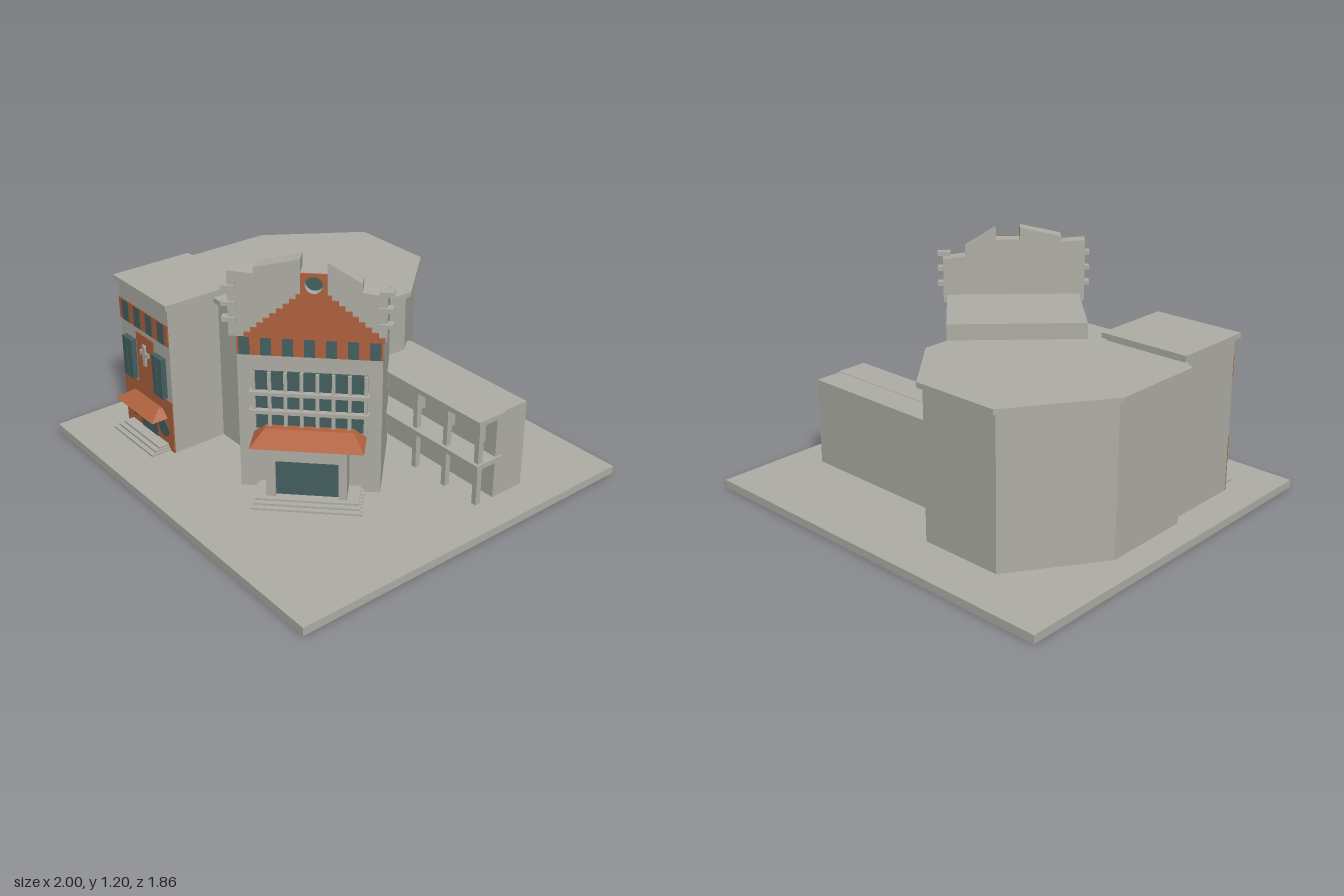
import * as THREE from 'three';

export function createModel() {
  const model = new THREE.Group();
  const mat = (name, color) => {
    const m = new THREE.MeshStandardMaterial({ color });
    m.name = name;
    return m;
  };
  const stone = mat('stone grey', 0xaeaea5);
  const brick = mat('brick orange', 0xb0623f);
  const glass = mat('dark teal glass', 0x456060);

  const add = (parent, name, geo, m) => {
    const mesh = new THREE.Mesh(geo, m);
    mesh.name = name;
    parent.add(mesh);
    return mesh;
  };
  // box given by its limits on each axis
  const box = (parent, name, m, x0, x1, y0, y1, z0, z1) =>
    add(parent, name, new THREE.BoxGeometry(x1 - x0, y1 - y0, z1 - z0), m)
      .position.set((x0 + x1) / 2, (y0 + y1) / 2, (z0 + z1) / 2);
  const shapeOf = (pts) => new THREE.Shape(pts.map(([x, y]) => new THREE.Vector2(x, y)));
  const extrude = (shape, depth) =>
    new THREE.ExtrudeGeometry(shape, { depth, bevelEnabled: false, curveSegments: 12 });
  // upright plate facing +z
  const plate = (parent, name, m, shape, z0, z1) => {
    add(parent, name, extrude(shape, z1 - z0), m).position.z = z0;
  };
  // floor-plan prism, points are (x, z)
  const prism = (parent, name, m, pts, y0, y1) => {
    const g = extrude(shapeOf(pts.map(([x, z]) => [x, -z])), y1 - y0);
    g.rotateX(-Math.PI / 2);
    add(parent, name, g, m).position.y = y0;
  };
  // sloped canopy leaning on a wall at z0
  const canopy = (parent, name, x0, x1, y0, y1, z0, z1, inset, topDepth) => {
    const g = new THREE.BoxGeometry(x1 - x0, y1 - y0, z1 - z0);
    g.translate((x0 + x1) / 2, (y0 + y1) / 2, (z0 + z1) / 2);
    const p = g.attributes.position;
    for (let i = 0; i < p.count; i++) {
      if (p.getY(i) < (y0 + y1) / 2) continue;
      p.setX(i, p.getX(i) < (x0 + x1) / 2 ? x0 + inset : x1 - inset);
      if (p.getZ(i) > (z0 + z1) / 2) p.setZ(i, z0 + topDepth);
    }
    const flat = g.toNonIndexed();
    flat.computeVertexNormals();
    add(parent, name, flat, brick);
  };
  const steps = (parent, x0, x1, z0, z1, run) => {
    for (let i = 0; i < 3; i++)
      box(parent, 'step', stone, x0 + i * 0.008, x1 - i * 0.008, 0.04 + i * 0.01, 0.05 + i * 0.01, z0, z1 - i * run);
  };

  box(model, 'ground slab', stone, -1, 1, 0, 0.04, -0.93, 0.93);

  // Many-sided main hall with an overhanging roof slab
  const hall = new THREE.Group();
  hall.name = 'main hall';
  model.add(hall);
  prism(hall, 'hall walls', stone, [[-0.58, -0.695], [-0.16, -0.695], [0.105, -0.39], [0.105, 0.09],
    [-0.19, 0.34], [-0.66, 0.34], [-0.865, 0.19], [-0.865, -0.265]], 0.04, 0.765);
  prism(hall, 'hall roof', stone, [[-0.59, -0.72], [-0.15, -0.72], [0.13, -0.4], [0.13, 0.1],
    [-0.185, 0.365], [-0.67, 0.365], [-0.89, 0.2], [-0.89, -0.27]], 0.765, 0.79);

  // Front wing
  const wing = new THREE.Group();
  wing.name = 'front wing';
  model.add(wing);
  const wx = -0.615, wz = 0.62;
  box(wing, 'wing walls', stone, -0.83, -0.4, 0.04, 0.805, 0.23, wz);
  box(wing, 'wing roof', stone, -0.85, -0.385, 0.805, 0.83, 0.21, 0.637);
  box(wing, 'lower brick panel', brick, -0.83, -0.4, 0.04, 0.315, wz, wz + 0.006);
  box(wing, 'central brick panel', brick, wx - 0.077, wx + 0.077, 0.315, 0.585, wz, wz + 0.006);
  box(wing, 'upper brick band', brick, -0.83, -0.4, 0.61, 0.72, wz, wz + 0.006);
  for (let i = 0; i < 4; i++) {
    const x = wx + (i - 1.5) * 0.105;
    box(wing, 'upper window', glass, x - 0.028, x + 0.028, 0.612, 0.718, wz, wz + 0.009);
  }
  for (const s of [-1, 1]) {
    for (const o of [-0.022, 0.022])
      box(wing, 'tall shutter', glass, wx + s * 0.133 + o - 0.019, wx + s * 0.133 + o + 0.019, 0.325, 0.535, wz, wz + 0.028);
    const disc = new THREE.CylinderGeometry(0.044, 0.044, 0.009, 24);
    disc.rotateX(Math.PI / 2);
    add(wing, 'round window', disc, glass).position.set(wx + s * 0.134, 0.147, wz + 0.0055);
  }
  box(wing, 'wing door', glass, wx - 0.072, wx + 0.072, 0.065, 0.19, wz, wz + 0.009);
  box(wing, 'cross upright', stone, wx - 0.011, wx + 0.011, 0.43, 0.54, wz, wz + 0.016);
  box(wing, 'cross bar', stone, wx - 0.038, wx + 0.038, 0.482, 0.504, wz, wz + 0.0155);
  canopy(wing, 'wing canopy', -0.78, -0.445, 0.213, 0.252, wz, 0.713, 0.045, 0.03);
  steps(wing, -0.795, -0.435, wz, 0.73, 0.025);

  // Low rear wing with a two-storey gallery
  const rear = new THREE.Group();
  rear.name = 'rear wing';
  model.add(rear);
  box(rear, 'rear walls', stone, 0.05, 0.825, 0.04, 0.478, -0.477, -0.295);
  box(rear, 'gallery roof', stone, 0.1, 0.835, 0.455, 0.48, -0.335, -0.172);
  box(rear, 'gallery floor', stone, 0.1, 0.835, 0.232, 0.256, -0.33, -0.172);
  for (const x of [0.41, 0.61, 0.81])
    box(rear, 'gallery column', stone, x - 0.013, x + 0.013, 0.04, 0.455, -0.217, -0.189);
  for (const x of [0.31, 0.51, 0.705])
    box(rear, 'gallery window', stone, x - 0.055, x + 0.055, 0.305, 0.415, -0.295, -0.272);

  // Entrance tower, turned 45 degrees
  const tower = new THREE.Group();
  tower.name = 'entrance tower';
  tower.rotation.y = Math.PI / 4;
  model.add(tower);
  const f = 0.392, c = -0.038, gx = -0.0125;
  box(tower, 'tower walls', stone, -0.36, 0.283, 0.04, 0.867, -0.096, f);

  // Broken stepped parapet, its front layer pierced by a round window
  const outline = [[-0.385, 0.83], [0.3, 0.83], [0.3, 1.045], [0.193, 1.06], [0.193, 1.1], [0.045, 1.19],
    [0.045, 1.14], [-0.07, 1.14], [-0.07, 1.2], [-0.27, 1.155], [-0.27, 1.127], [-0.385, 1.135]];
  const roundHole = () => new THREE.Path().absarc(gx, 1.085, 0.04, 0, Math.PI * 2, true);
  plate(tower, 'parapet back', stone, shapeOf(outline), 0.36, 0.4);
  const pierced = shapeOf(outline);
  pierced.holes.push(roundHole());
  plate(tower, 'parapet front', stone, pierced, 0.4, 0.435);
  add(tower, 'round gable window', new THREE.CircleGeometry(0.042, 24), glass).position.set(gx, 1.085, 0.402);

  // Stepped brick gable
  const half = [];
  for (let i = 0; i < 9; i++) {
    const w = 0.305 - i * 0.0285;
    half.push([w, 0.83 + i * 0.0235], [w, 0.83 + (i + 1) * 0.0235]);
  }
  half.push([0.057, 0.83 + 9 * 0.0235], [0.057, 1.139]);
  const gable = shapeOf([...half.map(([x, y]) => [gx + x, y]), ...half.map(([x, y]) => [gx - x, y]).reverse()]);
  gable.holes.push(roundHole());
  plate(tower, 'stepped gable', brick, gable, 0.435, 0.443);

  for (const y of [0.91, 0.985, 1.06])
    for (const s of [-1, 1])
      box(tower, 'side bracket', stone, -0.0425 + s * 0.338 - 0.032, -0.0425 + s * 0.338 + 0.032, y - 0.01, y + 0.01, 0.405, 0.447);

  // Brick band with small windows
  box(tower, 'brick band', brick, -0.36, 0.283, 0.722, 0.83, f, f + 0.006);
  for (let i = -3; i <= 3; i++)
    box(tower, 'band window', glass, c + i * 0.096 - 0.024, c + i * 0.096 + 0.024, 0.724, 0.828, f, f + 0.0095);

  // Large gridded window
  box(tower, 'large window', glass, c - 0.255, c + 0.255, 0.355, 0.645, f, f + 0.008);
  for (let i = 0; i <= 7; i++) {
    const x = c - 0.25 + i * 0.5 / 7;
    box(tower, 'window fin', stone, x - 0.008, x + 0.008, 0.355, 0.645, f, f + 0.022);
  }
  for (const y of [0.45, 0.543])
    box(tower, 'window ledge', stone, c - 0.268, c + 0.268, y - 0.009, y + 0.009, f, f + 0.034);

  // Porch, recessed door, canopy and steps
  canopy(tower, 'porch canopy', c - 0.255, c + 0.255, 0.33, 0.375, f, 0.545, 0.055, 0.045);
  box(tower, 'porch lintel', stone, -0.225, 0.14, 0.255, 0.33, f, 0.515);
  box(tower, 'porch pier', stone, -0.225, -0.182, 0.04, 0.255, f, 0.515);
  box(tower, 'porch pier', stone, 0.103, 0.14, 0.04, 0.255, f, 0.515);
  box(tower, 'porch door', glass, -0.182, 0.103, 0.065, 0.255, 0.485, 0.494);
  steps(tower, c - 0.25, c + 0.25, f, 0.59, 0.025);

  return model;
}
